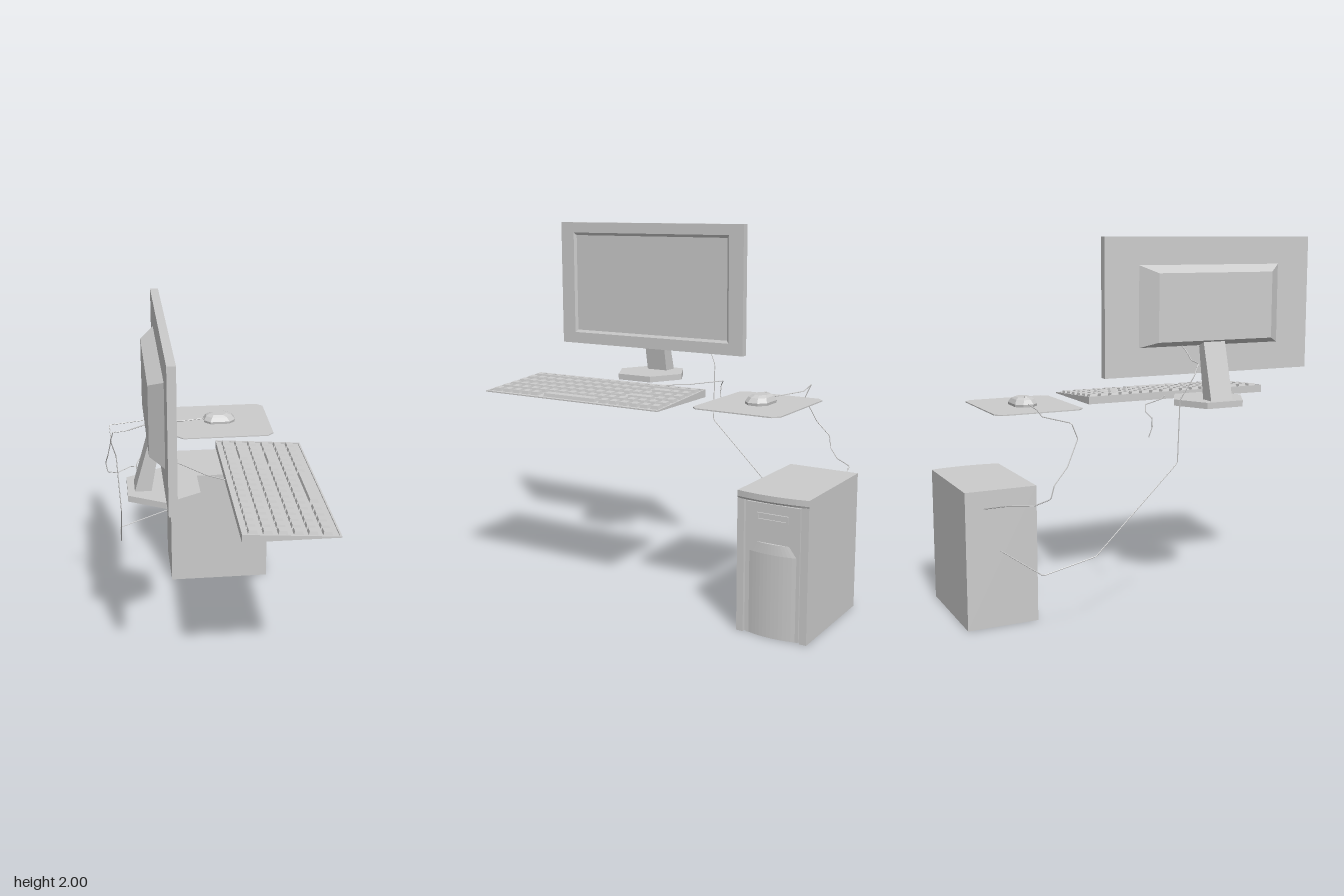
import * as THREE from 'three';

const grey = new THREE.MeshStandardMaterial({ color: 0xcccccc, flatShading: true, side: THREE.DoubleSide });

function add(parent, name, geometry) {
  const mesh = new THREE.Mesh(geometry, grey);
  mesh.name = name;
  parent.add(mesh);
  return mesh;
}

function group(parent, name) {
  const g = new THREE.Group();
  g.name = name;
  parent.add(g);
  return g;
}

// Skin a list of rings (each counter-clockwise about the direction of travel)
function loft(rings, capStart = true, capEnd = true) {
  const n = rings[0].length, last = (rings.length - 1) * n, index = [];
  for (let r = 0; r < rings.length - 1; r++) {
    for (let i = 0; i < n; i++) {
      const a = r * n + i, b = r * n + (i + 1) % n;
      index.push(a, b, b + n, a, b + n, a + n);
    }
  }
  for (let i = 1; i < n - 1; i++) {
    if (capStart) index.push(0, i + 1, i);
    if (capEnd) index.push(last, last + i, last + i + 1);
  }
  const indexed = new THREE.BufferGeometry();
  indexed.setAttribute('position', new THREE.Float32BufferAttribute(rings.flat(2), 3));
  indexed.setIndex(index);
  const geometry = indexed.toNonIndexed();
  geometry.computeVertexNormals();
  return geometry;
}

// Rectangle facing +x
const rectX = (x, y0, y1, z0, z1) => [[x, y0, z0], [x, y1, z0], [x, y1, z1], [x, y0, z1]];

// Rectangle facing up; y may be a function of x
function rectY(y, x0, x1, z0, z1) {
  const h = typeof y === 'function' ? y : () => y;
  return [[x0, z0], [x0, z1], [x1, z1], [x1, z0]].map(([x, z]) => [x, h(x), z]);
}

// Rectangle with cut corners, facing up
function octY(y, x0, x1, z0, z1, c) {
  return [[x0, z0 + c], [x0, z1 - c], [x0 + c, z1], [x1 - c, z1],
    [x1, z1 - c], [x1, z0 + c], [x1 - c, z0], [x0 + c, z0]].map(([x, z]) => [x, y, z]);
}

// Outline with a bowed +x side, facing up
function bowY(y, back, front, bulge, z0, z1) {
  const pts = [[back, y, z0], [back, y, z1]];
  for (let i = 0; i <= 12; i++) {
    const t = i / 12;
    pts.push([front + bulge * 4 * t * (1 - t), y, z1 + (z0 - z1) * t]);
  }
  return pts;
}

function box(parent, name, x0, x1, y0, y1, z0, z1) {
  return add(parent, name, loft([rectX(x0, y0, y1, z0, z1), rectX(x1, y0, y1, z0, z1)]));
}

function cable(parent, name, points) {
  const path = new THREE.CatmullRomCurve3(points.map(p => new THREE.Vector3(...p)), false, 'catmullrom', 0);
  add(parent, name, new THREE.TubeGeometry(path, 100, 0.003, 5));
}

function buildMonitor(root) {
  const g = group(root, 'monitor');
  // Panel with bevelled, sunken screen
  add(g, 'screenPanel', loft([
    rectX(-0.275, 1.28, 2, -0.255, 0.98),
    rectX(-0.233, 1.28, 2, -0.255, 0.98),
    rectX(-0.233, 1.345, 1.94, -0.165, 0.89),
    rectX(-0.243, 1.36, 1.925, -0.15, 0.875),
  ]));
  add(g, 'rearHousing', loft([
    rectX(-0.345, 1.46, 1.815, 0.02, 0.705),
    rectX(-0.275, 1.43, 1.855, -0.06, 0.785),
  ]));
  const neck = z => [[-0.41, 1.14, z], [-0.325, 1.14, z], [-0.275, 1.42, z], [-0.275, 1.46, z], [-0.32, 1.46, z]];
  add(g, 'neck', loft([neck(0.298), neck(0.428)]));
  const base = y => [[-0.445, y, 0.255], [-0.445, y, 0.47], [-0.26, y, 0.57],
    [-0.08, y, 0.47], [-0.08, y, 0.255], [-0.26, y, 0.155]];
  add(g, 'base', loft([base(1.112), base(1.145)]));
}

function buildKeyboard(root) {
  const g = group(root, 'keyboard');
  const top = x => 1.137 - 0.075 * (x - 0.07);
  const floor = x => top(x) - 0.007;
  // Sloping tray with a raised rim
  add(g, 'keyboardTray', loft([
    rectY(1.095, 0.07, 0.55, -0.195, 0.92),
    rectY(top, 0.07, 0.55, -0.195, 0.92),
    rectY(top, 0.079, 0.541, -0.186, 0.911),
    rectY(floor, 0.079, 0.541, -0.186, 0.911),
  ]));
  const key = (name, x, z0, z1) => add(g, name, loft([
    rectY(floor, x - 0.024, x + 0.024, z0 - 0.004, z1 + 0.004),
    rectY(v => floor(v) + 0.017, x - 0.019, x + 0.019, z0, z1),
  ], false));
  // Wide keys by row: [start, end] along z
  const wide = { 1: [-0.055, 0.05], 3: [-0.033, 0.103], 5: [0.222, 0.55] };
  [0.125, 0.197, 0.27, 0.345, 0.416, 0.486].forEach((x, row) => {
    const span = wide[row];
    if (span) key('wideKey', x, ...span);
    for (let col = 0; col < 17; col++) {
      const z = -0.15 + col * 0.064;
      if (!span || z + 0.024 < span[0] || z - 0.024 > span[1]) key('key', x, z - 0.02, z + 0.02);
    }
  });
}

function buildMouse(root) {
  const g = group(root, 'mouseAndPad');
  add(g, 'mousePad', loft([
    octY(1.102, -0.135, 0.425, -0.795, -0.305, 0.035),
    octY(1.108, -0.135, 0.425, -0.795, -0.305, 0.035),
  ]));
  add(g, 'mouseBody', loft([
    octY(1.108, 0.042, 0.222, -0.618, -0.496, 0.035),
    octY(1.122, 0.04, 0.224, -0.62, -0.494, 0.035),
    octY(1.145, 0.054, 0.205, -0.608, -0.506, 0.032),
    octY(1.156, 0.07, 0.175, -0.594, -0.52, 0.025),
  ]));
  const wheel = add(g, 'scrollWheel', new THREE.CylinderGeometry(0.012, 0.012, 0.01, 10));
  wheel.rotation.x = Math.PI / 2;
  wheel.position.set(0.085, 1.15, -0.557);
}

function buildTower(root) {
  const g = group(root, 'tower');
  // Case shell, open underneath
  add(g, 'case', loft([
    rectY(0, -0.16, 0.427, -0.98, -0.595),
    rectY(0.73, -0.16, 0.427, -0.98, -0.595),
  ], false));
  // Bowed brow above the front panel
  add(g, 'frontBrow', loft([
    bowY(0.69, 0.42, 0.443, 0.018, -0.98, -0.595),
    bowY(0.7, 0.42, 0.447, 0.02, -0.98, -0.595),
    bowY(0.73, 0.42, 0.447, 0.02, -0.98, -0.595),
  ]));
  for (const [z0, z1] of [[-0.98, -0.943], [-0.632, -0.595]]) box(g, 'frontPost', 0.42, 0.447, 0, 0.69, z0, z1);
  box(g, 'frontPanel', 0.42, 0.438, 0, 0.68, -0.932, -0.643);
  // Bowed lower cover fading into the panel
  add(g, 'lowerCover', loft([
    bowY(0, 0.425, 0.438, 0.017, -0.915, -0.66),
    bowY(0.43, 0.425, 0.438, 0.017, -0.915, -0.66),
    bowY(0.482, 0.425, 0.438, 0.012, -0.875, -0.695),
  ]));
  // Drive slot with a raised frame
  add(g, 'driveSlot', loft([
    rectX(0.436, 0.593, 0.632, -0.87, -0.7),
    rectX(0.446, 0.593, 0.632, -0.87, -0.7),
    rectX(0.446, 0.602, 0.623, -0.86, -0.71),
    rectX(0.439, 0.602, 0.623, -0.86, -0.71),
  ]));
}

export function createModel() {
  const root = new THREE.Group();
  root.name = 'desktopComputer';
  buildMonitor(root);
  buildKeyboard(root);
  buildMouse(root);
  buildTower(root);

  cable(root, 'mouseCable', [[0.06, 1.125, -0.557], [-0.09, 1.112, -0.557], [-0.285, 1.11, -0.605],
    [-0.52, 1.11, -0.545], [-0.512, 1.03, -0.51], [-0.535, 0.9, -0.575], [-0.55, 0.82, -0.65],
    [-0.54, 0.75, -0.665], [-0.48, 0.71, -0.73], [-0.39, 0.7, -0.84], [-0.155, 0.635, -0.88]]);
  cable(root, 'monitorCable', [[-0.275, 1.435, 0.19], [-0.345, 1.405, 0.185], [-0.43, 1.37, 0.165],
    [-0.505, 1.362, 0.165], [-0.52, 1.3, 0.13], [-0.492, 1.18, 0.065], [-0.475, 0.85, 0.062],
    [-0.475, 0.41, -0.4], [-0.475, 0.35, -0.685], [-0.155, 0.405, -0.795]]);
  cable(root, 'keyboardCable', [[0.075, 1.112, 0.275], [-0.02, 1.11, 0.2], [-0.15, 1.11, 0.04],
    [-0.23, 1.11, 0], [-0.36, 1.11, -0.065], [-0.383, 1.08, -0.04], [-0.38, 1.03, -0.035], [-0.37, 0.975, -0.05]]);
  return root;
}
